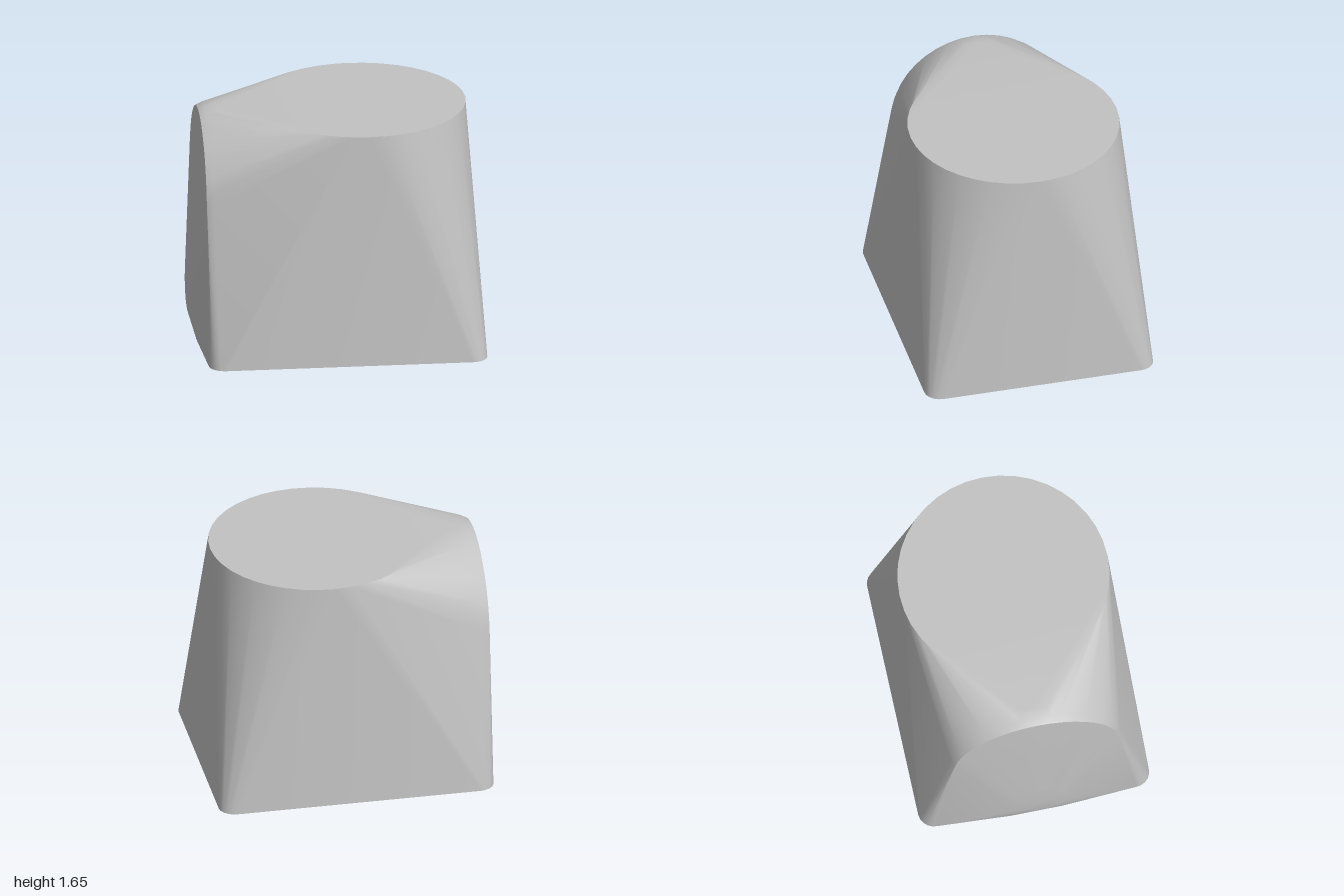
import * as THREE from 'three';
import { ConvexGeometry } from 'three/addons/geometries/ConvexGeometry.js';
import { toCreasedNormals } from 'three/addons/utils/BufferGeometryUtils.js';

// Points round a circle, placed in space by a mapping function
function ring(radius, count, place) {
  return Array.from({ length: count }, (_, i) => {
    const a = (i / count) * Math.PI * 2;
    return place(radius * Math.cos(a), radius * Math.sin(a));
  });
}

export function createModel() {
  const group = new THREE.Group();
  const grey = new THREE.MeshStandardMaterial({ color: 0xc2c2c2 });
  grey.name = 'lightGrey';

  const points = [];

  // Rounded rectangular base on the ground
  const r = 0.11;
  for (const [x, z, start] of [[1 - r, 0.81 - r, 0], [-0.925 + r, 0.81 - r, 1],
    [-0.925 + r, -0.81 + r, 2], [1 - r, -0.81 + r, 3]]) {
    for (let i = 0; i <= 5; i++) {
      const a = (start + i / 5) * Math.PI / 2;
      points.push(new THREE.Vector3(x + r * Math.cos(a), 0, z + r * Math.sin(a)));
    }
  }

  // Flat round top
  points.push(...ring(0.73, 40, (u, v) => new THREE.Vector3(0.19 + u, 1.65, v)));

  // Upright round end with a softened rim
  for (const [x, radius] of [[-0.925, 0.58], [-0.88, 0.602], [-0.8, 0.61]]) {
    points.push(...ring(radius, 40, (u, v) => new THREE.Vector3(x, 1.04 + v, u)));
  }

  // Shallow bulge low on the round end
  points.push(...ring(0.18, 20, (u, v) => new THREE.Vector3(-1, 0.33 + v, u)));
  for (const z of [-0.18, 0.18]) points.push(new THREE.Vector3(-0.955, 0, z));

  // One skin stretched over all the sections
  const body = new THREE.Mesh(toCreasedNormals(new ConvexGeometry(points), 0.5), grey);
  body.name = 'body';
  group.add(body);
  return group;
}
